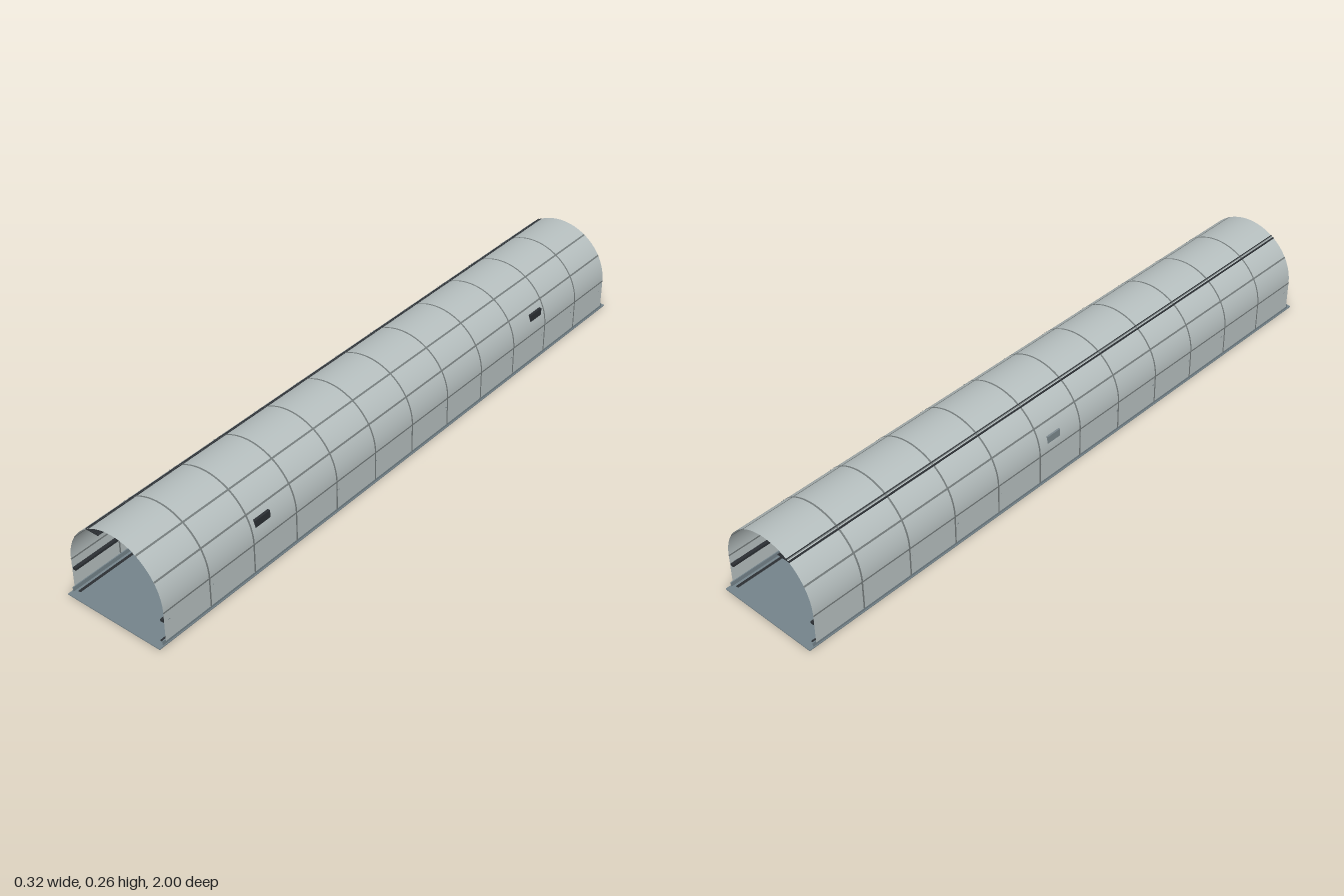
import * as THREE from 'three';
import { ParametricGeometry } from 'three/addons/geometries/ParametricGeometry.js';

const R = 0.159, SPRING = 0.102, BASE = 0.012, HALF = 0.977;
const WALL = SPRING - BASE, LENGTH = Math.PI * R + 2 * WALL;

// Point on the tunnel section, at a distance s along it from the foot of the +x wall
function section(s, offset, z, target) {
  const r = R + offset;
  if (s < WALL) return target.set(r, BASE + s, z);
  if (s > LENGTH - WALL) return target.set(-r, BASE + LENGTH - s, z);
  const a = (s - WALL) / R;
  return target.set(r * Math.cos(a), SPRING + r * Math.sin(a), z);
}

// Curved sheet following the section between two distances and two z values
function sheet(s0, s1, z0, z1, offset, slices) {
  return new ParametricGeometry((u, v, target) =>
    section(s0 + (s1 - s0) * u, offset, z0 + (z1 - z0) * v, target), slices, 1);
}

export function createModel() {
  const model = new THREE.Group();
  model.name = 'tunnel';

  const mat = (name, color, side = THREE.FrontSide) => {
    const m = new THREE.MeshStandardMaterial({ color, side });
    m.name = name;
    return m;
  };
  const lining = mat('pale lining', 0xb6bfbf, THREE.DoubleSide);
  const joint = mat('joint grey', 0x747b7b, THREE.DoubleSide);
  const slab = mat('slate floor', 0x74838a);
  const steel = mat('steel grey', 0x7b878c);
  const dark = mat('dark metal', 0x2b2f33);

  const add = (name, geometry, material, parent = model) => {
    const mesh = new THREE.Mesh(geometry, material);
    mesh.name = name;
    parent.add(mesh);
    return mesh;
  };
  // Box given by its limits
  const box = (name, x0, x1, y0, y1, z0, z1, material, parent) => {
    const mesh = add(name, new THREE.BoxGeometry(x1 - x0, y1 - y0, z1 - z0), material, parent);
    mesh.position.set((x0 + x1) / 2, (y0 + y1) / 2, (z0 + z1) / 2);
    return mesh;
  };

  // Floor and arched lining
  box('floor', -0.16, 0.16, 0, 0.003, -1, 1, slab);
  add('lining', sheet(0, LENGTH, -HALF, HALF, 0, 96), lining);

  // Panel joints, outside and inside
  const joints = new THREE.Group();
  joints.name = 'panelJoints';
  model.add(joints);
  const half = 0.0025;
  for (const offset of [0.0008, -0.0008]) {
    for (let i = -5; i <= 5; i++) {
      const z = i * 0.1633;
      add('ringJoint', sheet(0, LENGTH, z - half, z + half, offset, 96), joint, joints);
    }
    for (const angle of [0, 0.55, 1.04, Math.PI - 1.04, Math.PI - 0.55, Math.PI]) {
      const s = WALL + angle * R;
      add('longJoint', sheet(s - half, s + half, -HALF, HALF, offset, 2), joint, joints);
    }
  }

  // Kerbs, drains and handrails along both walls
  for (const side of [-1, 1]) {
    const strip = (name, x, w, y0, y1, end, material) =>
      box(name, side * x - w / 2, side * x + w / 2, y0, y1, -end, end, material);
    strip('kerb', 0.156, 0.003, 0.003, 0.016, 0.985, slab);
    strip('drain', 0.143, 0.008, 0.003, 0.004, HALF, dark);
    strip('handrail', 0.151, 0.01, 0.07, 0.077, HALF, dark);
    for (let i = -6; i <= 6; i++) {
      const z = i * 0.16;
      box('railBracket', side * 0.1565 - 0.0025, side * 0.1565 + 0.0025, 0.071, 0.076, z - 0.004, z + 0.004, steel);
    }
  }

  // Cable tray hung under the crown, with its cables
  box('trayShelf', -0.0895, -0.047, 0.234, 0.2365, -HALF, HALF, dark);
  for (let i = 0; i < 4; i++) {
    const cable = add('cable', new THREE.CylinderGeometry(0.0018, 0.0018, 2 * HALF, 8), dark);
    cable.rotation.x = Math.PI / 2;
    cable.position.set(-0.079 + i * 0.0085, 0.2395, 0);
  }
  for (let i = -6; i <= 6; i++) {
    const z = i * 0.16;
    box('trayHanger', -0.048, -0.0465, 0.234, 0.2535, z - 0.004, z + 0.004, dark);
  }

  // Equipment cabinet on the -x wall
  box('cabinet', -0.157, -0.142, 0.09, 0.15, -0.13, -0.08, steel);
  box('cabinetDoor', -0.142, -0.14, 0.093, 0.147, -0.127, -0.083, dark);

  // Signal boxes on the +x wall
  for (const z of [-0.61, 0.61]) {
    box('signalBox', 0.144, 0.1535, 0.137, 0.166, z - 0.028, z + 0.028, dark);
    box('signalFace', 0.1415, 0.144, 0.139, 0.164, z - 0.025, z + 0.025, steel);
  }
  return model;
}
